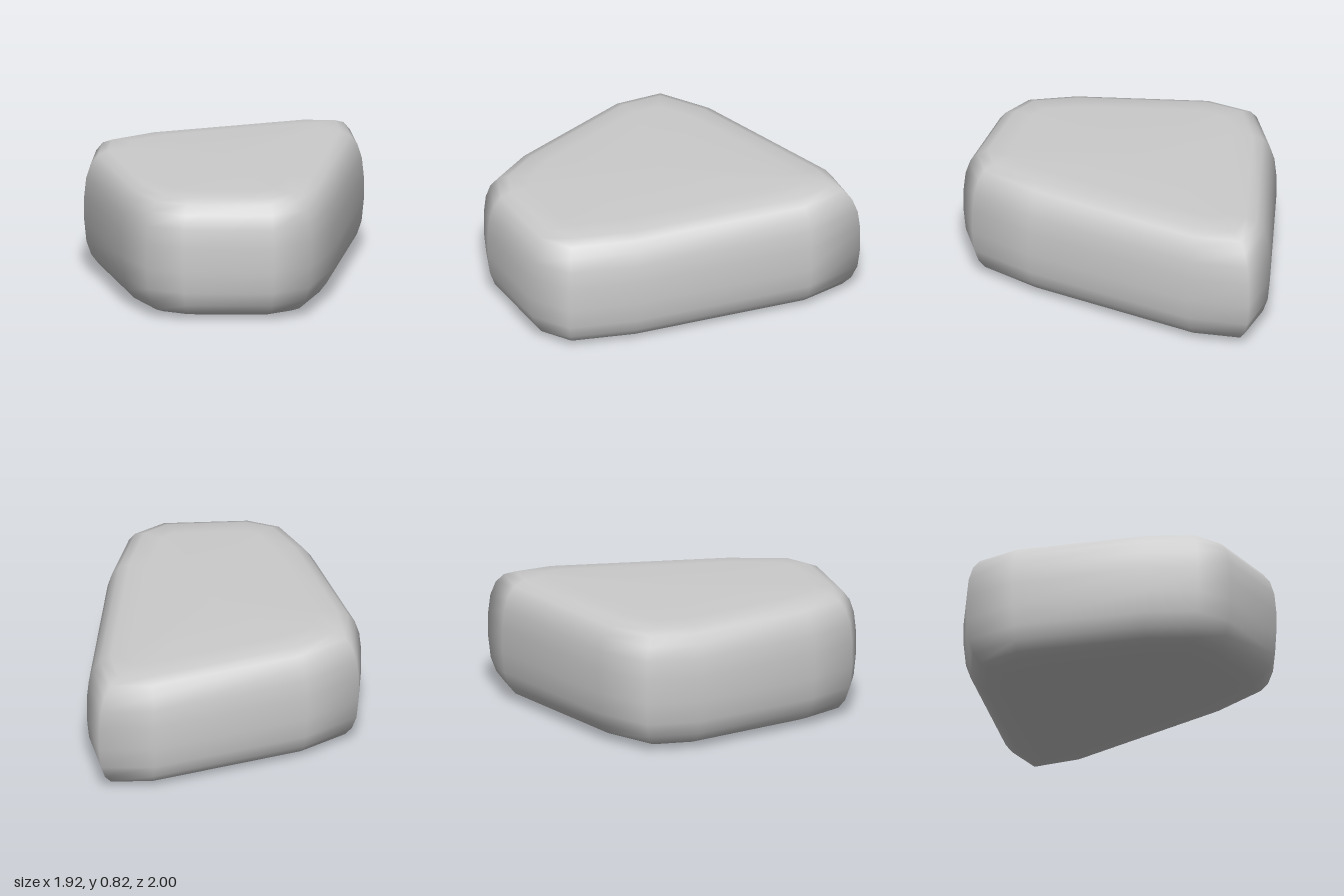
import * as THREE from 'three';

// Widest outline of the stone as [x, z], clockwise seen from above
const OUTLINE = [
  [-0.42, -0.99], [0.63, -1.0], [0.96, -0.88], [0.9, -0.49], [0.38, 0.56], [0.12, 0.93],
  [-0.15, 1.0], [-0.7, 0.83], [-0.9, 0.66], [-0.965, 0.32], [-0.95, -0.55], [-0.81, -0.88],
];

// Rounded edge as [inset, height], from the bottom up
const PROFILE = [
  [0.28, 0.008], [0.15, 0.025], [0.09, 0.05], [0.045, 0.11], [0.014, 0.2], [0, 0.34],
  [0, 0.5], [0.012, 0.62], [0.04, 0.71], [0.085, 0.77], [0.15, 0.8], [0.28, 0.815],
];

// Inward mitre direction at each corner, so every side moves in by the same distance
function mitres(points) {
  const n = points.length;
  const inward = points.map((p, i) => {
    const q = points[(i + 1) % n];
    return new THREE.Vector2(p[1] - q[1], q[0] - p[0]).normalize();
  });
  return inward.map((b, i) => {
    const a = inward[(i + n - 1) % n];
    return a.clone().add(b).divideScalar(1 + a.dot(b));
  });
}

function stoneGeometry() {
  const n = OUTLINE.length;
  const rings = PROFILE.length;
  const mitre = mitres(OUTLINE);
  const positions = [];
  const index = [];

  // Stacked rings
  for (const [inset, y] of PROFILE) {
    OUTLINE.forEach(([x, z], i) => {
      positions.push(x + mitre[i].x * inset, y, z + mitre[i].y * inset);
    });
  }
  // Centres of the nearly flat bottom and top
  const bottom = n * rings;
  const top = bottom + 1;
  positions.push(-0.1, 0, -0.15, -0.1, 0.822, -0.15);

  for (let i = 0; i < n; i++) {
    const k = (i + 1) % n;
    for (let r = 0; r < rings - 1; r++) {
      const a = r * n + i;
      const b = r * n + k;
      index.push(a, a + n, b, a + n, b + n, b);
    }
    const last = (rings - 1) * n;
    index.push(bottom, i, k, top, last + k, last + i);
  }

  const geometry = new THREE.BufferGeometry();
  geometry.setAttribute('position', new THREE.Float32BufferAttribute(positions, 3));
  geometry.setIndex(index);
  geometry.computeVertexNormals();
  return geometry;
}

export function createModel() {
  const group = new THREE.Group();
  group.name = 'stone';
  const body = new THREE.Mesh(stoneGeometry(), new THREE.MeshStandardMaterial({ color: 0xcccccc }));
  body.name = 'stoneBody';
  group.add(body);
  return group;
}
